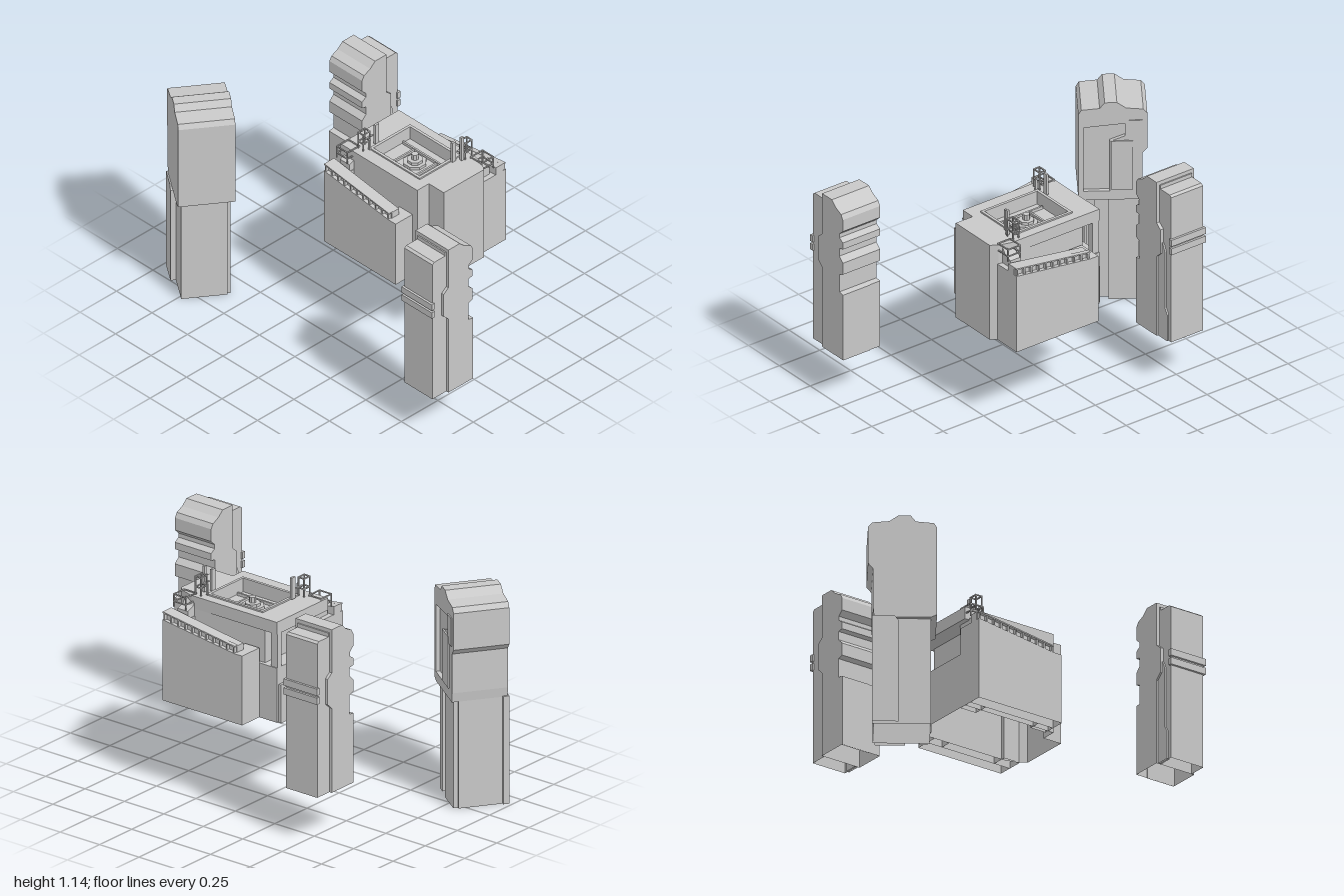
import * as THREE from 'three';

const concrete = new THREE.MeshStandardMaterial({ color: 0xc8c8c8, side: THREE.DoubleSide });
concrete.name = 'concrete grey';

// The buildings are shells, open underneath at these ground levels
const groundLevels = [0, 0.26, 0.46];
function openBelow(geo) {
  const flat = geo.index ? geo.toNonIndexed() : geo;
  const p = flat.attributes.position.array, kept = [];
  for (let i = 0; i < p.length; i += 9) {
    const onGround = groundLevels.some((y) => [1, 4, 7].every((k) => Math.abs(p[i + k] - y) < 1e-4));
    if (!onGround) kept.push(...p.slice(i, i + 9));
  }
  const out = new THREE.BufferGeometry();
  out.setAttribute('position', new THREE.Float32BufferAttribute(kept, 3));
  out.computeVertexNormals();
  return out;
}
function add(parent, name, geo) {
  const m = new THREE.Mesh(openBelow(geo), concrete);
  m.name = name;
  parent.add(m);
}
// Box given by its limits
function box(parent, name, x0, x1, y0, y1, z0, z1) {
  const g = new THREE.BoxGeometry(x1 - x0, y1 - y0, z1 - z0);
  add(parent, name, g.translate((x0 + x1) / 2, (y0 + y1) / 2, (z0 + z1) / 2));
}
const vectors = (pts) => pts.map((p) => new THREE.Vector2(p[0], p[1]));
function extrude(pts, depth, hole) {
  const s = new THREE.Shape(vectors(pts));
  if (hole) s.holes.push(new THREE.Path(vectors(hole)));
  return new THREE.ExtrudeGeometry(s, { depth, bevelEnabled: false });
}
// (x, y) profile between two z limits
function alongZ(parent, name, pts, z0, z1) {
  add(parent, name, extrude(pts, z1 - z0).translate(0, 0, z0));
}
// (z, y) profile between two x limits
function alongX(parent, name, pts, x0, x1, hole) {
  add(parent, name, extrude(pts, x1 - x0, hole).rotateY(-Math.PI / 2).translate(x1, 0, 0));
}
// (x, z) outline between two heights
function slab(parent, name, pts, y0, y1, hole) {
  add(parent, name, extrude(pts, y1 - y0, hole).rotateX(Math.PI / 2).translate(0, y1, 0));
}

// Slim tower with a notched side facing +x
function slimTower() {
  const g = new THREE.Group();
  g.name = 'slimTower';
  alongZ(g, 'notchedBody', [
    [-0.033, 0.26], [0.134, 0.26], [0.134, 0.63], [0.106, 0.635], [0.106, 0.735], [0.134, 0.745],
    [0.134, 0.81], [0.106, 0.838], [0.106, 0.883], [0.134, 0.888], [0.134, 0.925], [0.107, 0.943],
    [0.107, 0.965], [0.134, 0.99], [0.134, 1.055], [0.12, 1.08], [0.078, 1.1], [0.045, 1.13],
    [-0.033, 1.13], [-0.033, 0.9], [-0.065, 0.875], [-0.065, 0.74], [-0.033, 0.71],
  ], -0.115, 0.115);
  // Narrower rear half
  alongZ(g, 'rearBody', [
    [-0.128, 0.26], [-0.033, 0.26], [-0.033, 1.11], [-0.04, 1.11], [-0.04, 1.09], [-0.115, 1.09],
    [-0.128, 1.08],
  ], -0.097, 0.1);
  alongZ(g, 'rearPanel', [
    [-0.108, 0.26], [-0.033, 0.26], [-0.033, 0.8], [-0.07, 0.8], [-0.088, 0.76], [-0.088, 0.44], [-0.108, 0.41],
  ], -0.106, -0.09);
  for (const y of [0.762, 0.81]) box(g, 'rearRib', -0.14, -0.12, y, y + 0.036, -0.105, 0.108);
  box(g, 'lowerSidePanel', 0.13, 0.137, 0.26, 0.63, -0.05, 0.115);
  return g;
}

// Tall tower with an overhanging head
function tallTower() {
  const g = new THREE.Group();
  g.name = 'tallTower';
  alongX(g, 'shaft', [[-0.14, 0], [0.14, 0], [0.14, 0.6], [-0.14, 0.6]], -0.125, 0.105);
  const head = [
    [-0.14, 0.57], [0.14, 0.57], [0.17, 0.585], [0.17, 1.055], [0.155, 1.08], [0.065, 1.088],
    [0.04, 1.12], [-0.02, 1.12], [-0.065, 1.088], [-0.15, 1.08], [-0.17, 1.055], [-0.17, 0.86],
    [-0.145, 0.83], [-0.145, 0.62],
  ];
  alongX(g, 'head', head, -0.145, 0.118);
  // Raised face framing a recess
  alongX(g, 'headFrame', head, 0.118, 0.14, [
    [0.145, 0.62], [0.145, 0.98], [-0.06, 1.0], [-0.06, 0.93], [0.015, 0.9], [0.015, 0.62],
  ]);
  box(g, 'upperBox', 0.13, 0.146, 0.87, 1.02, -0.145, -0.08);
  box(g, 'middleBox', 0.13, 0.148, 0.63, 0.905, -0.1, 0.007);
  // Shaft panels
  box(g, 'sidePanel', 0.1, 0.13, 0, 0.58, -0.13, 0.02);
  box(g, 'edgePanel', 0.1, 0.122, 0, 0.57, 0.09, 0.13);
  alongX(g, 'backPanel', [[-0.15, 0], [-0.02, 0], [-0.02, 0.55], [-0.04, 0.575], [-0.15, 0.575]], -0.152, -0.12);
  return g;
}

// Open railing cage
function cage(parent, x, y, z, w, h, d) {
  const t = 0.006;
  for (const sx of [-1, 1]) for (const sz of [-1, 1]) {
    const px = x + sx * w / 2, pz = z + sz * d / 2;
    box(parent, 'cagePost', px - t / 2, px + t / 2, y, y + h, pz - t / 2, pz + t / 2);
  }
  for (const k of [0.45, 1]) {
    const py = y + h * k;
    for (const s of [-1, 1]) {
      box(parent, 'cageRail', x - w / 2, x + w / 2, py - t, py, z + s * d / 2 - t / 2, z + s * d / 2 + t / 2);
      box(parent, 'cageRail', x + s * w / 2 - t / 2, x + s * w / 2 + t / 2, py - t, py, z - d / 2, z + d / 2);
    }
  }
}

// Side wing with gap, sloping gallery and masts, relative to the block's centre
function wing(hasTallMast) {
  const g = new THREE.Group();
  g.name = 'wing';
  alongX(g, 'wingWall', [[-0.198, 0.46], [0.307, 0.46], [0.307, 0.89], [-0.15, 0.83], [-0.198, 0.83]], 0.252, 0.325);
  box(g, 'frontLink', 0.17, 0.252, 0.46, 0.89, 0.212, 0.307);
  box(g, 'backLink', 0.19, 0.252, 0.46, 0.83, -0.198, -0.108);
  // Sloping gallery with bays
  alongX(g, 'galleryRoof', [[-0.15, 0.83], [0.307, 0.89], [0.307, 0.932], [-0.15, 0.865]], 0.256, 0.305);
  for (let i = 0; i < 11; i++) {
    const z = -0.145 + i * 0.044, y = 0.83 + (z + 0.15) * 0.132;
    box(g, 'galleryMullion', 0.3, 0.322, y, y + 0.034, z, z + 0.008);
  }
  alongX(g, 'gallerySill', [[-0.15, 0.862], [0.307, 0.925], [0.307, 0.932], [-0.15, 0.869]], 0.3, 0.324);
  // Stepped shoulder and corner cages
  alongZ(g, 'shoulder', [[0.13, 0.88], [0.24, 0.88], [0.24, 0.93], [0.2, 0.945], [0.17, 0.985], [0.13, 0.995]], 0.215, 0.28);
  cage(g, 0.205, 0.935, 0.262, 0.08, 0.07, 0.075);
  cage(g, 0.155, 1.0, 0.2, 0.045, 0.1, 0.035);
  // Masts
  box(g, 'broadMast', 0.07, 0.096, 1.0, 1.115, 0.18, 0.192);
  if (hasTallMast) box(g, 'tallMast', 0.112, 0.128, 1.0, 1.138, 0.2, 0.214);
  box(g, 'shortMast', 0.14, 0.15, 1.0, 1.06, 0.165, 0.175);
  box(g, 'mastArm', 0.1, 0.15, 1.05, 1.056, 0.19, 0.2);
  return g;
}

function centralBlock() {
  const g = new THREE.Group();
  g.name = 'centralBlock';
  const front = [[0.35, 0.4], [0.33, 0.47], [0.305, 0.505], [0.03, 0.505], [0.03, 0.4], [-0.05, 0.4]];
  const pit = [[0.035, 0.005], [0.285, 0.005], [0.285, 0.33], [0.035, 0.33]];
  slab(g, 'lowerBody', [[-0.05, -0.14], [0.35, -0.14], ...front], 0.46, 0.75);
  slab(g, 'upperBody', [[-0.05, -0.05], [0.33, -0.05], ...front], 0.75, 0.93);
  slab(g, 'roof', [[-0.05, -0.14], [0.35, -0.14], ...front], 0.93, 0.995, pit);
  slab(g, 'roofRim', [[0.02, -0.01], [0.3, -0.01], [0.3, 0.345], [0.02, 0.345]], 0.99, 1.003, pit);
  // Sunken deck details
  for (const x of [0.08, 0.228]) box(g, 'deckCurb', x, x + 0.01, 0.93, 0.945, 0.01, 0.325);
  for (const z of [0.085, 0.245]) box(g, 'deckBeam', 0.08, 0.238, 0.93, 0.942, z, z + 0.01);
  for (const [r, h] of [[0.06, 0.015], [0.04, 0.03], [0.018, 0.06]]) {
    add(g, 'deckHub', new THREE.CylinderGeometry(r, r, h, 8).rotateY(Math.PI / 8).translate(0.16, 0.93 + h / 2, 0.168));
  }
  // Rear corner pier and post
  box(g, 'rearPier', 0.295, 0.335, 0.455, 0.66, -0.155, -0.09);
  box(g, 'rearPost', 0.315, 0.345, 0.66, 0.94, -0.14, -0.1);
  for (const turn of [0, Math.PI]) {
    const w = wing(turn === 0);
    w.position.set(0.16, 0, 0.168);
    w.rotation.y = turn;
    g.add(w);
  }
  return g;
}

export function createModel() {
  const model = new THREE.Group();
  model.name = 'towerComplex';
  model.add(centralBlock());
  const a = slimTower();
  a.position.set(-0.38, 0, 0.877);
  const b = slimTower();
  b.position.set(0.465, 0, -0.495);
  b.rotation.y = Math.PI;
  const c = tallTower();
  c.position.set(-0.385, 0, -0.775);
  c.rotation.y = -0.607;
  model.add(a, b, c);
  return model;
}
